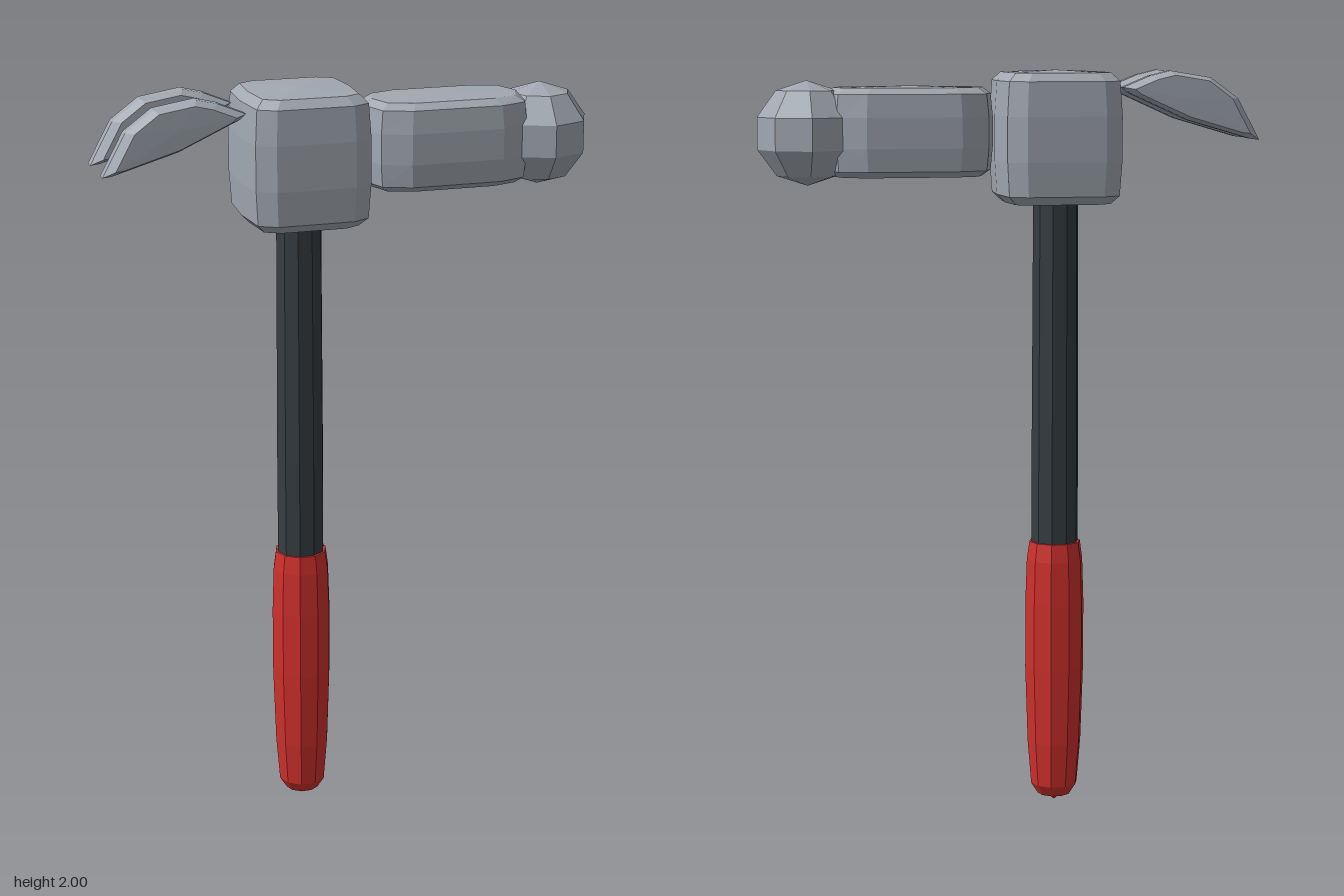
import * as THREE from 'three';

// Skin a stack of equal-length rings (counter-clockwise seen from the last ring) and fan both ends
function loft(rings, startTip, endTip) {
  const n = rings[0].length, pos = [];
  const tri = (...pts) => pts.forEach(p => pos.push(...p));
  for (let k = 0; k < rings.length - 1; k++) {
    for (let i = 0; i < n; i++) {
      const j = (i + 1) % n;
      const a = rings[k][i], b = rings[k][j], c = rings[k + 1][j], d = rings[k + 1][i];
      tri(a, b, c);
      tri(a, c, d);
    }
  }
  const first = rings[0], last = rings[rings.length - 1];
  for (let i = 0; i < n; i++) {
    const j = (i + 1) % n;
    tri(startTip, first[j], first[i]);
    tri(endTip, last[i], last[j]);
  }
  const g = new THREE.BufferGeometry();
  g.setAttribute('position', new THREE.Float32BufferAttribute(pos, 3));
  g.computeVertexNormals();
  return g;
}

// Softened block: ten-sided plan, bulging middle and bevelled, slightly domed ends
// ex, ez: half size of the straight run; hx, hz: half size; sx: corner x; inset: bevel width
function softBlock(cx, y0, y1, hx, hz, sx, cz, fx, inset, rimDrop, dome) {
  const ring = (y, d) => {
    const kx = (hx - d) / hx, kz = (hz - d) / hz;
    return [[hx, 0], [sx, -cz], [fx, -hz], [-fx, -hz], [-sx, -cz],
      [-hx, 0], [-sx, cz], [-fx, hz], [fx, hz], [sx, cz]]
      .map(([x, z]) => [cx + x * kx, y, z * kz]);
  };
  const mid = (y0 + y1) / 2, q = (y1 - y0) / 6;
  return loft([
    ring(y0 + dome, inset),
    ring(y0 + rimDrop, 0.006),
    ring(mid - q, 0),
    ring(mid + q, 0),
    ring(y1 - rimDrop, 0.006),
    ring(y1 - dome, inset),
  ], [cx, y0, 0], [cx, y1, 0]);
}

export function createModel() {
  const group = new THREE.Group();
  const material = (name, color) => {
    const m = new THREE.MeshStandardMaterial({ color, flatShading: true });
    m.name = name;
    return m;
  };
  const steel = material('steel grey', 0xa1a8b1);
  const dark = material('dark shaft', 0x353c41);
  const red = material('red grip', 0xcf302c);
  const add = (name, geometry, mat) => {
    const m = new THREE.Mesh(geometry, mat);
    m.name = name;
    group.add(m);
    return m;
  };
  const lathe = profile => new THREE.LatheGeometry(
    profile.map(([r, y]) => new THREE.Vector2(r, y)), 10, Math.PI / 2);
  const HX = -0.13; // handle axis

  // Handle
  add('shaft', lathe([[0, 0.68], [0.064, 0.68], [0.064, 1.0], [0.061, 1.66], [0, 1.66]]), dark)
    .position.x = HX;
  add('grip', lathe([
    [0, 0], [0.016, 0.014], [0.045, 0.02], [0.064, 0.05], [0.074, 0.17], [0.081, 0.38],
    [0.081, 0.56], [0.077, 0.68], [0.07, 0.73], [0, 0.733],
  ]), red).position.x = HX;

  // Head
  add('headBlock', softBlock(-0.128, 1.645, 2.0, 0.163, 0.163, 0.153, 0.135, 0.105, 0.028, 0.028, 0.006), steel);
  add('neck', softBlock(0.266, 1.72, 1.96, 0.226, 0.121, 0.2, 0.09, 0.125, 0.028, 0.02, 0.004), steel);
  add('strikingBall', new THREE.SphereGeometry(0.137, 8, 5), steel).position.set(0.533, 1.838, 0);

  // Pair of curved claws with bevelled sides
  const outline = [
    [-0.665, 1.815], [-0.64, 1.818], [-0.47, 1.868], [-0.31, 1.94], [-0.292, 1.955],
    [-0.365, 1.985], [-0.42, 1.998], [-0.53, 1.98], [-0.605, 1.925],
  ];
  const mx = -0.475, my = 1.925;
  const layer = (z, s) => outline.map(([x, y]) => [mx + (x - mx) * s, my + (y - my) * s, z]);
  const claw = loft([layer(-0.036, 0.84), layer(-0.014, 1), layer(0.014, 1), layer(0.036, 0.84)],
    [mx, my, -0.037], [mx, my, 0.037]);
  for (const [name, side] of [['frontClaw', 1], ['backClaw', -1]]) {
    add(name, claw, steel).position.z = side * 0.074;
  }

  return group;
}
